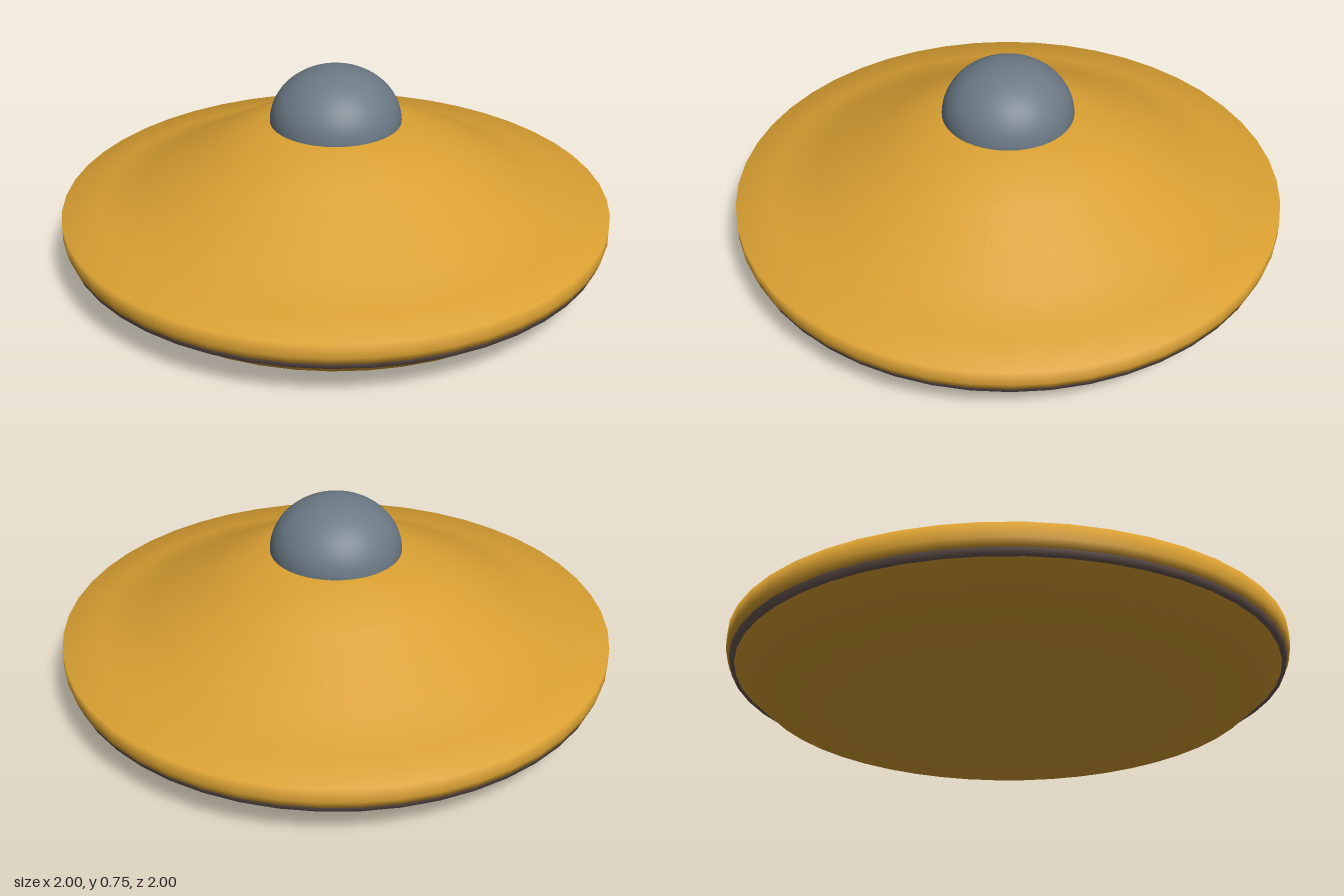
import * as THREE from 'three';

const SEGMENTS = 48;

function material(name, color) {
  const m = new THREE.MeshStandardMaterial({ color });
  m.name = name;
  return m;
}

// Spins a profile of [radius, height] points, listed from bottom to top
function lathe(name, points, mat) {
  const profile = points.map(([r, y]) => new THREE.Vector2(r, y));
  const mesh = new THREE.Mesh(new THREE.LatheGeometry(profile, SEGMENTS), mat);
  mesh.name = name;
  return mesh;
}

export function createModel() {
  const gold = material('gold', 0xdaa032);
  const slate = material('slate', 0x6c7a86);
  const brown = material('brown', 0x705c56);

  const group = new THREE.Group();
  group.name = 'saucer';

  // Shallow belly with a flat underside
  group.add(lathe('lowerHull', [
    [0, 0], [0.63, 0], [0.88, 0.055], [0.97, 0.135], [0.97, 0.15],
  ], gold));

  // Narrow trim band between the two hull halves
  group.add(lathe('trimBand', [
    [0.95, 0.133], [0.983, 0.133], [0.988, 0.155],
  ], brown));

  // Rounded rim sweeping up to the dome seat
  group.add(lathe('upperHull', [
    [0.96, 0.153], [0.992, 0.155], [1, 0.18], [1, 0.232], [0.865, 0.25],
    [0.69, 0.315], [0.44, 0.462], [0.24, 0.546], [0, 0.546],
  ], gold));

  // Flattened hemispherical cockpit dome
  const dome = new THREE.Mesh(
    new THREE.SphereGeometry(0.238, SEGMENTS, 16, 0, Math.PI * 2, 0, Math.PI / 2), slate);
  dome.name = 'dome';
  dome.scale.y = 0.2 / 0.238;
  dome.position.y = 0.545;
  group.add(dome);

  return group;
}
